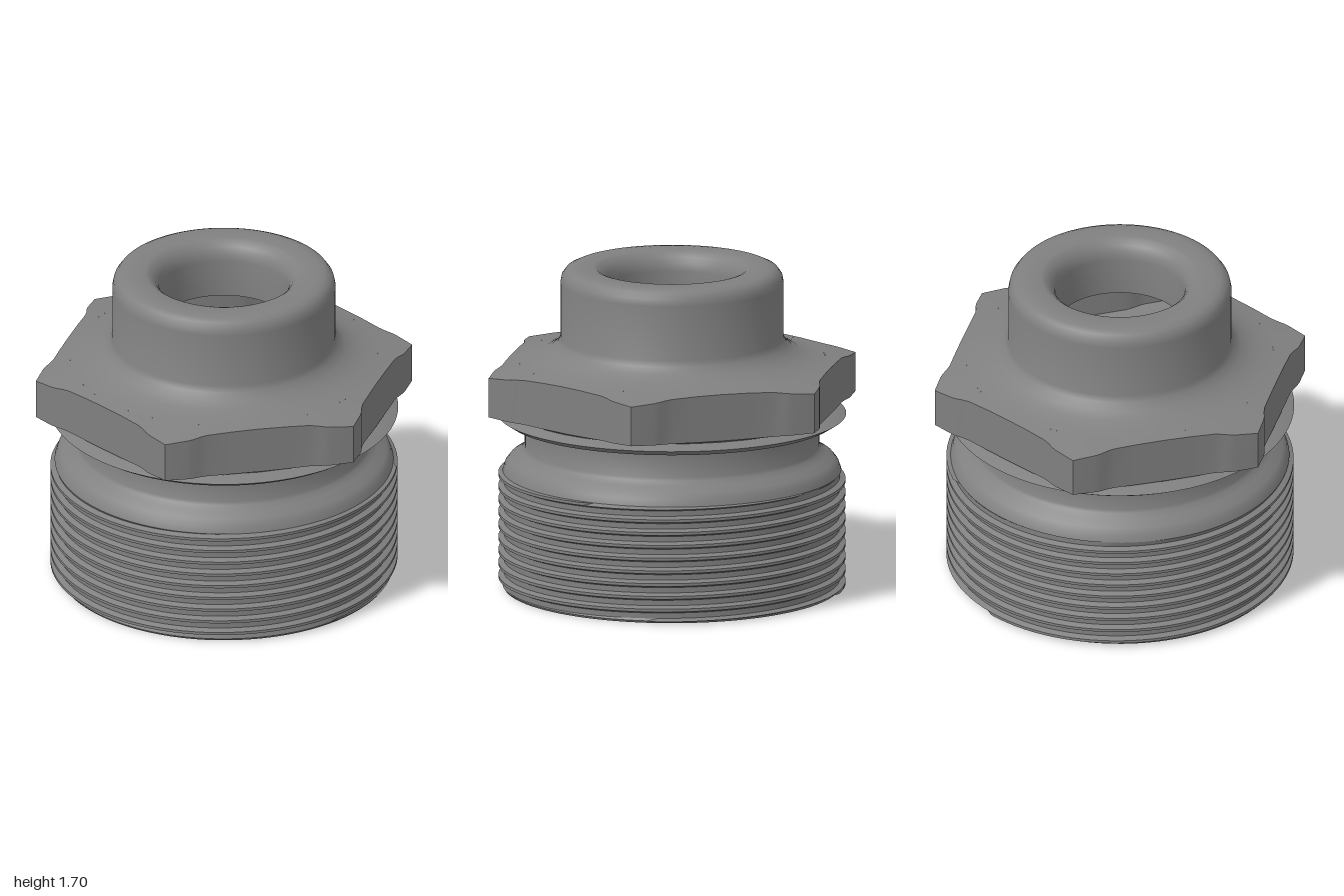
import * as THREE from 'three';
import { toCreasedNormals } from 'three/addons/utils/BufferGeometryUtils.js';

const SEGMENTS = 96;

// Smooth spun surface through [radius, height] pairs, with creases kept sharp
function spin(pairs) {
  const points = pairs.map(([r, y]) => new THREE.Vector2(r, y));
  return toCreasedNormals(new THREE.LatheGeometry(points, SEGMENTS), 0.6);
}

// Grid surface around the y axis: at(row, angle) gives [radius, height], rows run upward
function wrap(rows, angles, at) {
  const positions = [], index = [], n = angles.length;
  for (let r = 0; r < rows; r++) {
    for (const a of angles) {
      const [radius, y] = at(r, a);
      positions.push(Math.sin(a) * radius, y, Math.cos(a) * radius);
    }
  }
  for (let r = 0; r < rows - 1; r++) {
    for (let c = 0; c < n - 1; c++) {
      const p = r * n + c;
      index.push(p, p + 1, p + n + 1, p, p + n + 1, p + n);
    }
  }
  const geometry = new THREE.BufferGeometry();
  geometry.setAttribute('position', new THREE.Float32BufferAttribute(positions, 3));
  geometry.setIndex(index);
  return toCreasedNormals(geometry, 0.45);
}

// Helical thread: rows follow the helix, so the crests stay clean
function threadGeometry() {
  const pitch = 0.068, bottom = 0.012, top = 0.62;
  const profile = [[0, 0.873], [0.42, 0.873], [0.6, 0.902], [0.82, 0.902]];
  const turns = Math.ceil((top - bottom) / pitch) + 1;
  const angles = Array.from({ length: SEGMENTS + 1 }, (_, i) => (i / SEGMENTS) * Math.PI * 2);
  return wrap(turns * profile.length + 1, angles, (row, a) => {
    const [part, radius] = profile[row % profile.length];
    const turn = Math.floor(row / profile.length) - 1;
    const y = bottom + (turn + part + a / (Math.PI * 2)) * pitch;
    const clamped = THREE.MathUtils.clamp(y, bottom, top);
    return [clamped === y ? radius : 0.88, clamped];
  });
}

// Hexagonal flange with corners on the z axis and shallow recesses on the flats
function flangeGeometry() {
  const apothem = 0.866, recess = 0.022;
  const stations = [-0.5, -0.38, -0.35, -0.31, -0.27, -0.14, 0, 0.14, 0.27, 0.31, 0.35, 0.38];
  const angles = [], radii = new Map();
  for (let side = 0; side < 6; side++) {
    for (const t of stations) {
      const d = apothem - recess * (1 - THREE.MathUtils.smoothstep(Math.abs(t), 0.27, 0.38));
      const a = Math.PI / 6 + side * Math.PI / 3 + Math.atan2(t, d);
      angles.push(a);
      radii.set(a, Math.hypot(t, d));
    }
  }
  const last = angles[0] + Math.PI * 2;
  angles.push(last);
  radii.set(last, radii.get(angles[0]));
  return wrap(4, angles, (row, a) => {
    const radius = radii.get(a);
    const out = THREE.MathUtils.clamp((radius - 0.84) / 0.16, 0, 1);
    return [
      [0.83, 0.945],
      [radius, 0.955 + 0.012 * out],
      [radius, 1.203 - 0.028 * out],
      [0.8, 1.21],
    ][row];
  });
}

export function createModel() {
  const model = new THREE.Group();
  model.name = 'threadedAdapter';
  const metal = new THREE.MeshStandardMaterial({ color: 0x808080, side: THREE.DoubleSide });
  metal.name = 'grey metal';

  const add = (name, geometry) => {
    const mesh = new THREE.Mesh(geometry, metal);
    mesh.name = name;
    model.add(mesh);
  };

  // Threaded skirt and its bottom lip
  add('thread', threadGeometry());
  add('bottomLip', spin([[0.855, 0.012], [0.86, 0], [0.872, 0], [0.88, 0.012]]));

  // Shoulder, narrow neck and sharp collar under the flange
  add('neckAndCollar', spin([
    [0.88, 0.62], [0.868, 0.655], [0.845, 0.685], [0.8, 0.71], [0.775, 0.735], [0.765, 0.75],
    [0.765, 0.872], [0.86, 0.892], [0.905, 0.921], [0.865, 0.936], [0.82, 0.946],
  ]));

  add('hexFlange', flangeGeometry());

  // Flared spout, rounded rim and short bore
  add('spout', spin([
    [0.8, 1.21], [0.74, 1.222], [0.68, 1.242], [0.63, 1.268], [0.595, 1.3], [0.58, 1.33],
    [0.58, 1.62], [0.573, 1.655], [0.553, 1.683], [0.525, 1.696], [0.49, 1.7],
    [0.41, 1.7], [0.39, 1.694], [0.362, 1.67], [0.342, 1.64], [0.334, 1.6],
    [0.334, 1.4], [0.56, 1.38],
  ]));

  return model;
}
